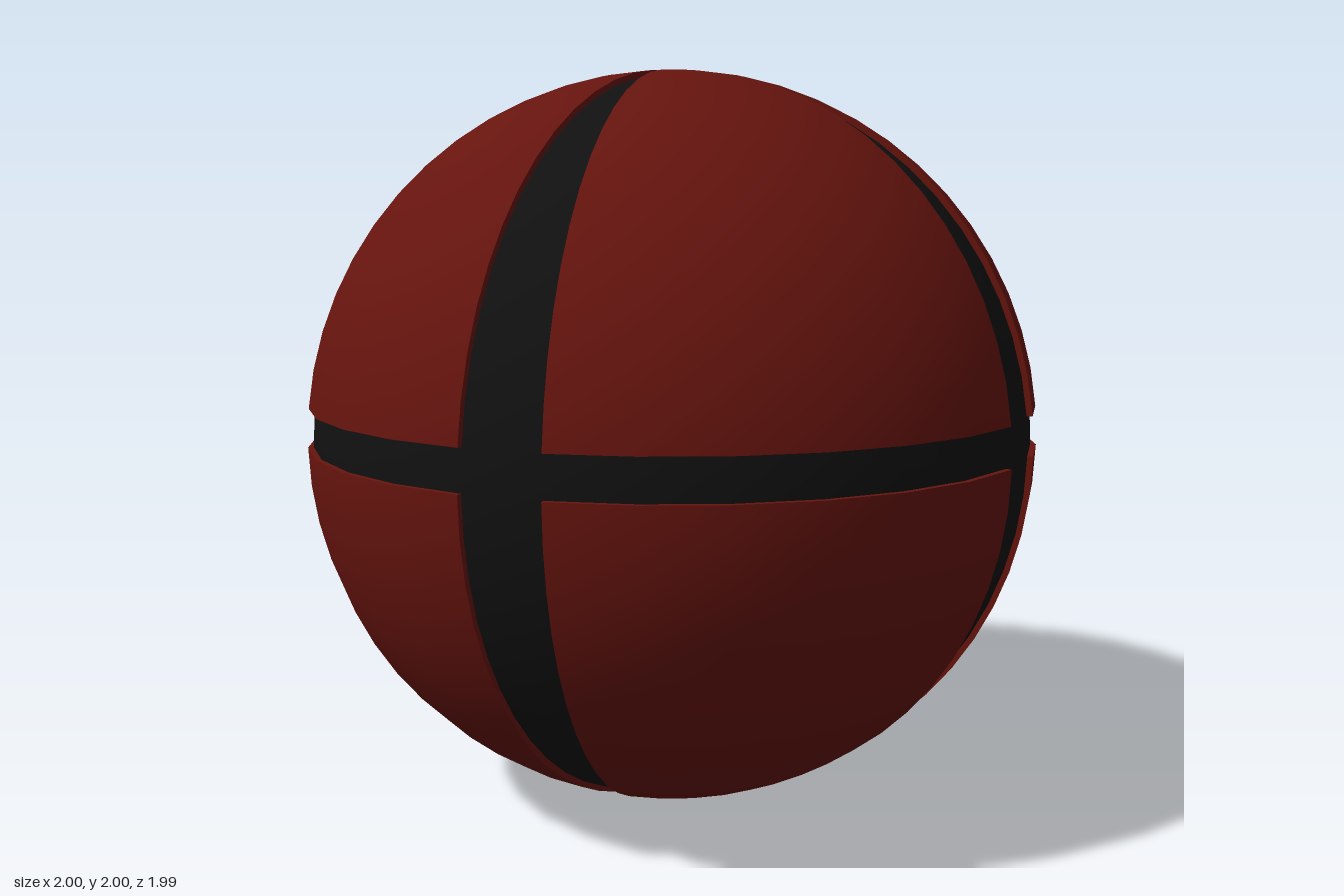
import * as THREE from 'three';

const RADIUS = 1;
const GROOVE_RADIUS = 0.985;
const STEP = 12; // degrees of longitude per segment
const ROW = 6; // degrees of latitude per segment

const red = new THREE.MeshStandardMaterial({ color: 0x66140e });
const black = new THREE.MeshStandardMaterial({ color: 0x111111 });

// A box bent into a thick spherical patch: x -> longitude, y -> latitude, z -> radius
function panelGeometry(lon0, lon1, lat0, lat1) {
  const inner = GROOVE_RADIUS - 0.005; // sunk slightly into the core
  const geo = new THREE.BoxGeometry(1, 1, 1,
    Math.round((lon1 - lon0) / STEP), Math.round((lat1 - lat0) / ROW), 1);
  const pos = geo.attributes.position;
  const outer = [];
  for (let i = 0; i < pos.count; i++) {
    const lon = THREE.MathUtils.degToRad(THREE.MathUtils.lerp(lon0, lon1, pos.getX(i) + 0.5));
    const lat = THREE.MathUtils.degToRad(THREE.MathUtils.lerp(lat0, lat1, pos.getY(i) + 0.5));
    const r = THREE.MathUtils.lerp(inner, RADIUS, pos.getZ(i) + 0.5);
    if (geo.attributes.normal.getZ(i) > 0.5) outer.push(i);
    pos.setXYZ(i, r * Math.cos(lat) * Math.sin(lon), r * Math.sin(lat), r * Math.cos(lat) * Math.cos(lon));
  }
  geo.computeVertexNormals();
  // Outer skin is perfectly smooth, walls keep their sharp edge
  for (const i of outer) {
    geo.attributes.normal.setXYZ(i, pos.getX(i) / RADIUS, pos.getY(i) / RADIUS, pos.getZ(i) / RADIUS);
  }
  return geo;
}

export function createModel() {
  const group = new THREE.Group();
  group.name = 'ball';

  // Dark core, seen at the bottom of the grooves
  const core = new THREE.Mesh(new THREE.SphereGeometry(GROOVE_RADIUS, 30, 30), black);
  core.name = 'grooveCore';
  core.position.y = RADIUS;
  group.add(core);

  // Eight raised panels, split by four meridian grooves and one band above the equator
  const spans = [[-6, 66], [78, 162], [174, 246], [258, 342]];
  const halves = { upperPanel: [6, 90], lowerPanel: [-90, 0] };
  for (const [name, [lat0, lat1]] of Object.entries(halves)) {
    spans.forEach(([lon0, lon1], i) => {
      const panel = new THREE.Mesh(panelGeometry(lon0, lon1, lat0, lat1), red);
      panel.name = name + (i + 1);
      panel.position.y = RADIUS;
      group.add(panel);
    });
  }
  return group;
}
